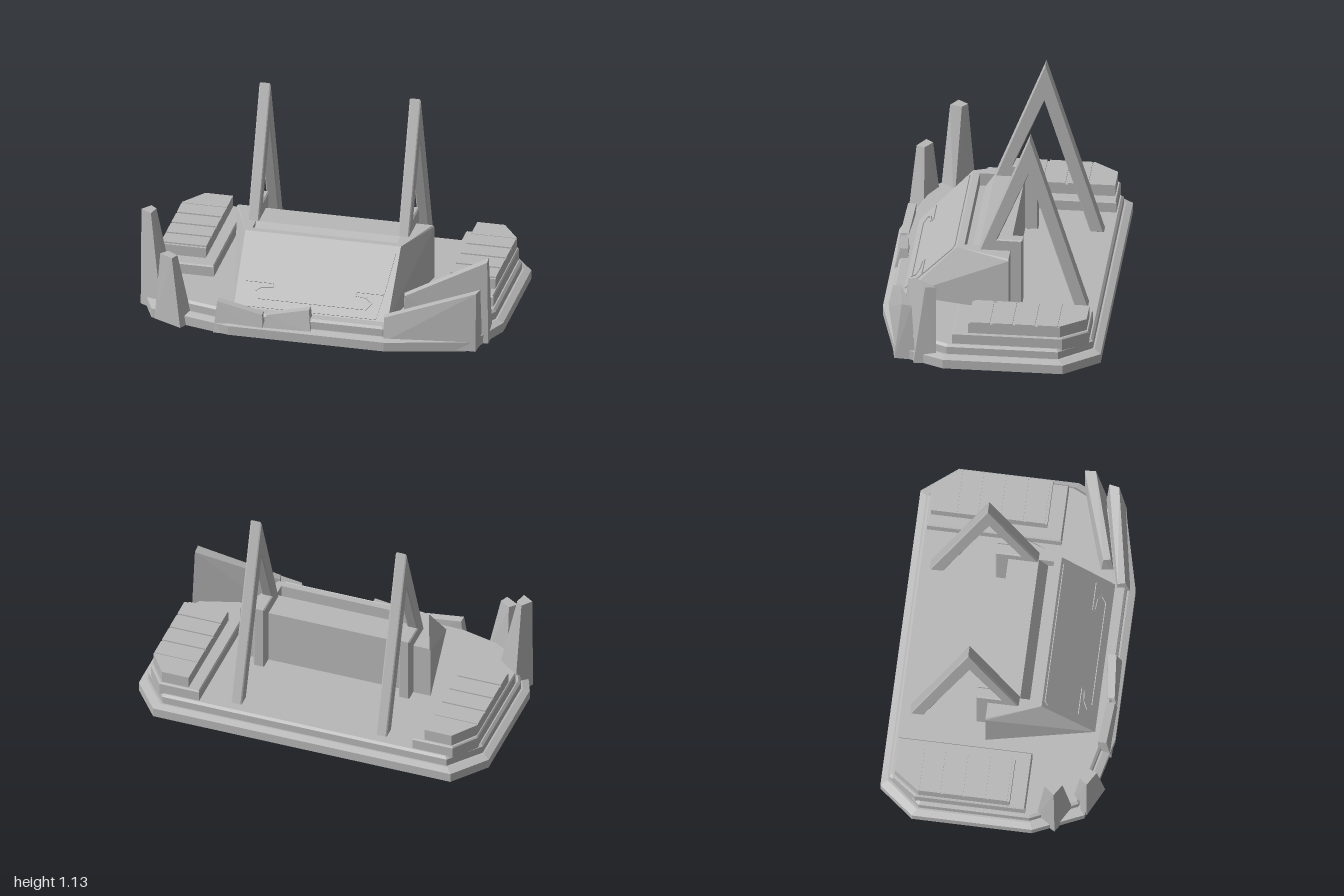
import * as THREE from 'three';
import { ConvexGeometry } from 'three/addons/geometries/ConvexGeometry.js';

const grey = new THREE.MeshStandardMaterial({ color: 0xb8b8b8 });
grey.name = 'plain grey';

export function createModel() {
  const model = new THREE.Group();
  const add = (name, geometry, parent = model) => {
    const mesh = new THREE.Mesh(geometry, grey);
    mesh.name = name;
    parent.add(mesh);
    return mesh;
  };
  // Convex solid from corner triples
  const hull = (name, corners) =>
    add(name, new ConvexGeometry(corners.map((c) => new THREE.Vector3(...c))));
  // Stack of the same outline; each level is [y, inset]
  const layer = (name, outline, levels, cx = 0, cz = 0) => {
    const hx = Math.max(...outline.map(([x]) => Math.abs(x - cx)));
    const hz = Math.max(...outline.map(([, z]) => Math.abs(z - cz)));
    return hull(name, levels.flatMap(([y, inset]) => outline.map(([x, z]) =>
      [cx + (x - cx) * (1 - inset / hx), y, cz + (z - cz) * (1 - inset / hz)])));
  };
  // Side profile in (z, y), swept across x
  const sideProfile = (points, width, bevel = 0) => {
    const shape = new THREE.Shape(points.map(([z, y]) => new THREE.Vector2(-z, y)));
    const g = new THREE.ExtrudeGeometry(shape, {
      depth: width - 2 * bevel, bevelEnabled: bevel > 0, bevelSegments: 1,
      bevelSize: bevel, bevelThickness: bevel, bevelOffset: -bevel,
    });
    g.translate(0, 0, -width / 2 + bevel);
    g.rotateY(Math.PI / 2);
    return g;
  };

  // Two stepped decks with chamfered rims
  const half = [[0.85, -0.61], [1, -0.42], [1, 0.23], [0.88, 0.5], [0.43, 0.61]];
  const outline = [...half, ...half.map(([x, z]) => [-x, z])];
  layer('basePlate', outline, [[0, 0], [0.052, 0], [0.066, 0.035]]);
  layer('upperDeck', outline, [[0.05, 0.045], [0.108, 0.045], [0.12, 0.058]]);

  for (const s of [-1, 1]) {
    // Stepped side pods
    const pod = (x0, x1, z0, z1, cut) => [
      [x0, z0], [x1 - cut * 0.72, z0], [x1, z0 + cut], [x1, z1], [x0, z1],
    ].map(([x, z]) => [s * x, z]);
    layer('podStep', pod(0.61, 0.935, -0.545, 0.185, 0.135),
      [[0.11, 0], [0.176, 0], [0.184, 0.006]], s * 0.77, -0.18);
    layer('podTop', pod(0.675, 0.925, -0.532, 0.1, 0.135),
      [[0.18, 0], [0.242, 0]], s * 0.8, -0.21);
    // Slats on the pod tops with narrow gaps
    const cuts = [-0.385, -0.262, -0.14, -0.018, 0.1];
    const slats = [pod(0.675, 0.925, -0.532, -0.39, 0.135)];
    for (let i = 0; i < 4; i++) slats.push(pod(0.675, 0.925, cuts[i], cuts[i + 1] - 0.014, 0));
    slats.forEach((p) => hull('podSlat', p.flatMap(([x, z]) => [[x, 0.24, z], [x, 0.25, z]])));

    // Tall A-frames with a square bracket behind the front leg
    const frame = sideProfile([
      [0.09, 0.43], [-0.185, 1.13], [-0.502, 0.115], [-0.427, 0.115], [-0.178, 0.905],
      [-0.01, 0.5], [-0.145, 0.5], [-0.145, 0.115], [0.09, 0.115],
    ], 0.062, 0.007);
    add('aFrame', frame).position.x = s * 0.415;

    // Console cheeks, tapering towards the front
    hull('consoleCheek', [
      [0.4, 0.11, -0.08], [0.545, 0.11, -0.08], [0.4, 0.435, -0.08], [0.538, 0.435, -0.08],
      [0.545, 0.425, -0.08], [0.4, 0.435, 0.21], [0.43, 0.435, 0.21],
      [0.4, 0.11, 0.5], [0.425, 0.11, 0.5], [0.4, 0.12, 0.5], [0.425, 0.12, 0.5],
    ].map(([x, y, z]) => [s * x, y, z]));
  }

  // Console middle with a trough behind the sloping face
  add('consoleBody', sideProfile([
    [-0.075, 0.11], [-0.075, 0.435], [0.09, 0.435], [0.14, 0.36], [0.172, 0.36],
    [0.172, 0.435], [0.21, 0.435], [0.5, 0.12], [0.5, 0.11],
  ], 0.802));

  // Sloping control panel; local y runs up the slope
  const panel = new THREE.Group();
  panel.name = 'controlPanel';
  panel.position.set(0, 0.12, 0.5);
  panel.rotation.x = -Math.atan2(0.29, 0.315);
  model.add(panel);
  const up = Math.hypot(0.29, 0.315) / 0.315;
  const plate = new THREE.Shape([
    [-0.36, 0.125], [0.36, 0.125], [0.385, 0.24], [0.41, 0.405], [0.395, 0.422],
    [-0.395, 0.422], [-0.41, 0.405], [-0.385, 0.24],
  ].map(([x, y]) => new THREE.Vector2(x, (y - 0.12) * up)));
  add('panelPlate', new THREE.ExtrudeGeometry(plate, { depth: 0.006, bevelEnabled: false }), panel);

  // Thin trim lines on the panel
  const strip = (a, b) => {
    const [ax, ay, bx, by] = [a[0], (a[1] - 0.12) * up, b[0], (b[1] - 0.12) * up];
    const m = add('panelTrim',
      new THREE.BoxGeometry(Math.hypot(bx - ax, by - ay) + 0.008, 0.009, 0.008), panel);
    m.position.set((ax + bx) / 2, (ay + by) / 2, 0.008);
    m.rotation.z = Math.atan2(by - ay, bx - ax);
  };
  const trim = [[0.375, 0.23], [0.23, 0.23], [0.23, 0.215], [0.29, 0.21], [0.325, 0.19], [0.295, 0.162]];
  for (const s of [-1, 1]) {
    for (let i = 1; i < trim.length; i++) {
      strip([s * trim[i - 1][0], trim[i - 1][1]], [s * trim[i][0], trim[i][1]]);
    }
  }
  strip([-0.295, 0.162], [0.295, 0.162]);

  // Low pair of fins along the front edge
  hull('frontFin', [
    [-0.515, 0, 0.53], [-0.515, 0, 0.6], [-0.24, 0, 0.54], [-0.24, 0, 0.608],
    [-0.5, 0.175, 0.525], [-0.5, 0.175, 0.57], [-0.25, 0.128, 0.54], [-0.25, 0.128, 0.585],
    [-0.235, 0.06, 0.59], [-0.235, 0.06, 0.54],
  ]);
  hull('frontFin', [
    [-0.245, 0.05, 0.53], [-0.245, 0.05, 0.597], [0.02, 0.05, 0.52], [0.02, 0.05, 0.592],
    [-0.225, 0.128, 0.54], [-0.225, 0.128, 0.58], [0.005, 0.175, 0.515], [0.005, 0.175, 0.56],
  ]);

  // Rising wedge walls on the left front corner
  hull('rearWedgeWall', [
    [0.5, 0.06, 0.41], [0.51, 0.06, 0.485], [0.95, 0, 0.27], [0.955, 0, 0.39],
    [0.5, 0.27, 0.425], [0.51, 0.27, 0.465], [0.93, 0.455, 0.27], [0.935, 0.455, 0.33],
  ]);
  hull('frontWedgeWall', [
    [0.41, 0.04, 0.5], [0.42, 0.04, 0.585], [0.92, 0, 0.385], [0.91, 0, 0.5],
    [0.41, 0.175, 0.515], [0.42, 0.175, 0.555], [0.915, 0.327, 0.405], [0.905, 0.327, 0.46],
  ]);

  // Tapering spires on the right front corner
  const spire = (name, foot, top, y) => hull(name, [
    ...foot.map(([x, z]) => [x, 0, z]), ...top.map(([x, z]) => [x, y, z]),
  ]);
  spire('tallSpire', [[-0.975, 0.35], [-0.91, 0.24], [-0.765, 0.35], [-0.84, 0.435]],
    [[-0.972, 0.345], [-0.93, 0.29], [-0.895, 0.32], [-0.91, 0.385]], 0.565);
  spire('shortSpire', [[-0.86, 0.51], [-0.8, 0.42], [-0.65, 0.5], [-0.7, 0.59]],
    [[-0.83, 0.505], [-0.795, 0.465], [-0.735, 0.505], [-0.755, 0.55]], 0.392);

  return model;
}
